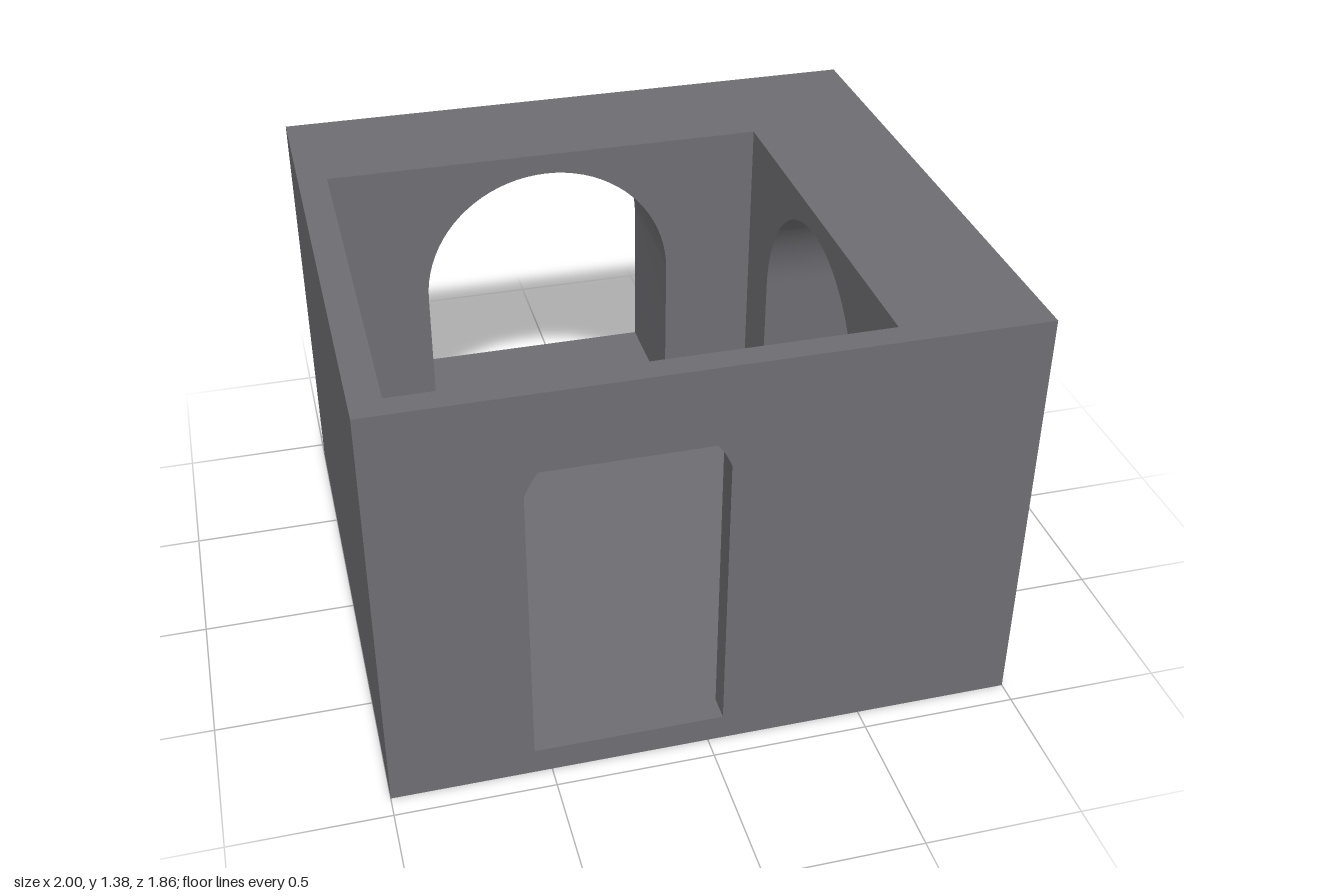
import * as THREE from 'three';
import { mergeGeometries, toCreasedNormals } from 'three/addons/utils/BufferGeometryUtils.js';

const HEIGHT = 1.385, FLOOR = 0.087;
const outer = { x0: -1, x1: 1, z0: -0.93, z1: 0.93 };
const room = { x0: -0.906, x1: 0.55, z0: -0.488, z1: 0.85 };

// Arched opening outline, counter-clockwise: flat sill, straight jambs, circular head
function archPoints(centre, halfWidth, sill, spring, top) {
  const rise = top - spring;
  const r = (halfWidth ** 2 + rise ** 2) / (2 * rise);
  const cy = top - r;
  const a0 = Math.atan2(spring - cy, halfWidth), n = 40;
  const pts = [new THREE.Vector2(centre - halfWidth, sill), new THREE.Vector2(centre + halfWidth, sill)];
  for (let i = 0; i <= n; i++) {
    const a = a0 + (Math.PI - 2 * a0) * i / n;
    pts.push(new THREE.Vector2(centre + r * Math.cos(a), cy + r * Math.sin(a)));
  }
  return pts;
}

// Flat panel, with an optional opening, facing +z or (flipped) -z
function panel(u0, u1, v0, v1, z, hole, flip) {
  const shape = new THREE.Shape([[u0, v0], [u1, v0], [u1, v1], [u0, v1]].map(p => new THREE.Vector2(...p)));
  if (hole) shape.holes.push(new THREE.Path(hole));
  const geo = new THREE.ShapeGeometry(shape).translate(0, 0, z);
  if (flip) {
    geo.index.array.reverse();
    geo.computeVertexNormals();
  }
  const flat = geo.toNonIndexed();
  flat.deleteAttribute('uv');
  return flat;
}

// Lining of an opening through the thickness of a wall
function reveal(points, zOut, zIn) {
  const pos = [];
  points.forEach((a, i) => {
    const b = points[(i + 1) % points.length];
    pos.push(a.x, a.y, zOut, b.x, b.y, zOut, b.x, b.y, zIn,
      a.x, a.y, zOut, b.x, b.y, zIn, a.x, a.y, zIn);
  });
  const geo = new THREE.BufferGeometry();
  geo.setAttribute('position', new THREE.Float32BufferAttribute(pos, 3));
  geo.computeVertexNormals();
  return toCreasedNormals(geo, Math.PI / 6);
}

export function createModel() {
  const group = new THREE.Group();
  const material = new THREE.MeshStandardMaterial({ color: 0x6e6d72 });
  const add = (name, geo) => {
    const mesh = new THREE.Mesh(geo, material);
    mesh.name = name;
    group.add(mesh);
    return mesh;
  };

  const door = archPoints(-0.253, 0.3, FLOOR, 1.05, 1.257);
  const sideWindow = archPoints(-0.145, 0.424, 0.368, 0.893, 1.316);
  const backWindow = archPoints(0.18, 0.424, 0.368, 0.893, 1.316);

  // Each wall is drawn facing +z, then turned to its side: outer half width, room span, depths
  const walls = [
    ['frontWall', 0, 1, room.x0, room.x1, outer.z1, room.z1, door],
    ['rightSideWall', Math.PI / 2, 0.93, -room.z1, -room.z0, outer.x1, room.x1, sideWindow],
    ['backWall', Math.PI, 1, -room.x1, -room.x0, -outer.z0, -room.z0, backWindow],
    ['leftSideWall', -Math.PI / 2, 0.93, room.z0, room.z1, -outer.x0, -room.x0, null],
  ];
  // Names follow the model's own left (+x) and right (-x)
  walls[1][0] = 'leftWindowWall';
  walls[3][0] = 'rightSolidWall';
  for (const [name, angle, half, u0, u1, zOut, zIn, hole] of walls) {
    const parts = [
      panel(-half, half, 0, HEIGHT, zOut, hole, false),
      panel(u0, u1, FLOOR, HEIGHT, zIn, hole, true),
    ];
    if (hole) parts.push(reveal(hole, zOut, zIn));
    add(name, mergeGeometries(parts)).rotation.y = angle;
  }

  // Horizontal surfaces: wall top rim, room floor and underside
  const rect = r => [[r.x0, -r.z1], [r.x1, -r.z1], [r.x1, -r.z0], [r.x0, -r.z0]].map(p => new THREE.Vector2(...p));
  const level = (r, y, hole, flip) =>
    panel(r.x0, r.x1, -r.z1, -r.z0, y, hole, flip).rotateX(-Math.PI / 2);
  add('wallTop', level(outer, HEIGHT, rect(room), false));
  add('roomFloor', level(room, FLOOR, null, false));
  add('underside', level(outer, 0, null, true));

  return group;
}
